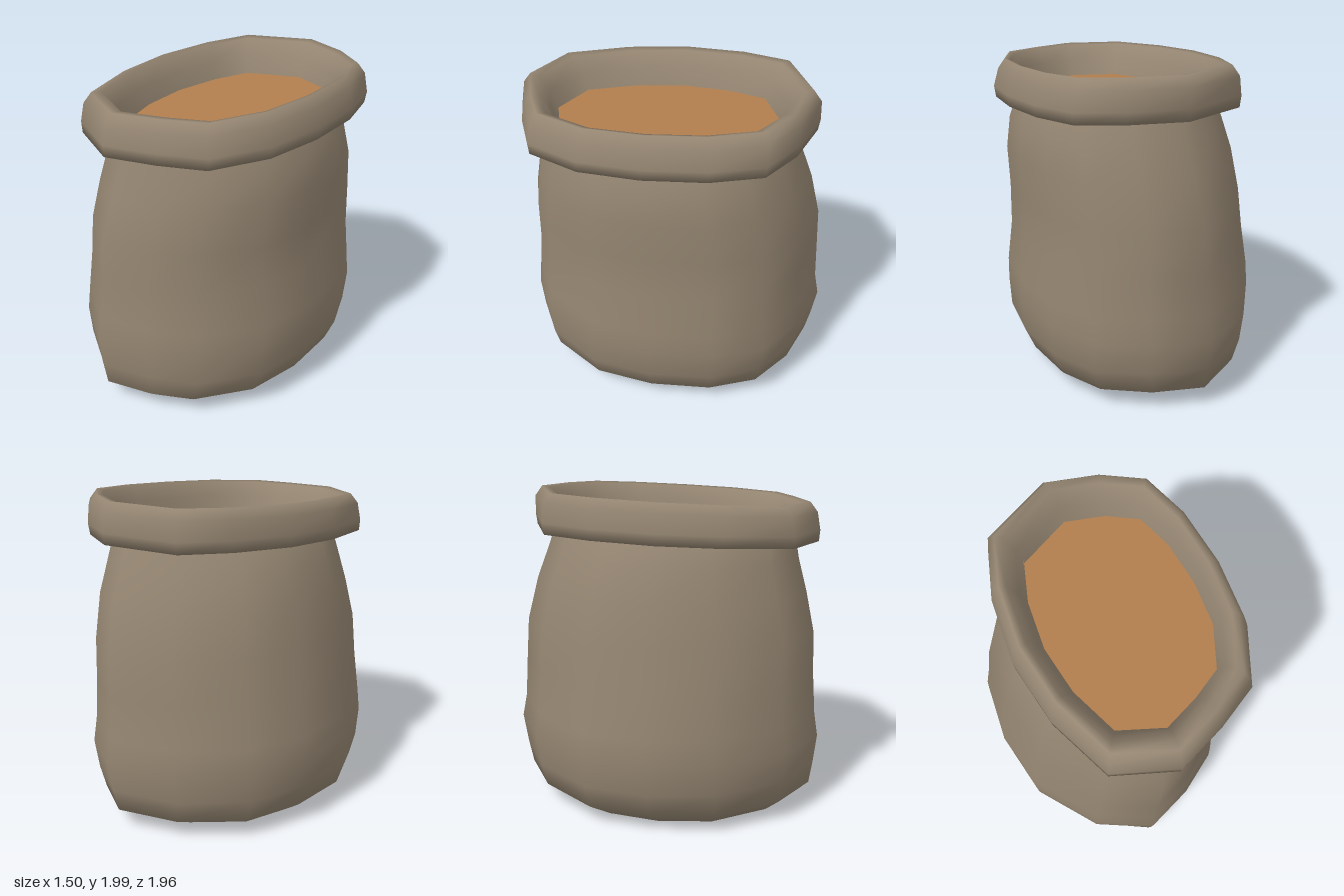
import * as THREE from 'three';

// Uneven outlines as [x, z] between -1 and 1, both starting at the back and passing +x first
const BODY_OUTLINE = [
  [-0.08, -1], [0.37, -0.9], [0.75, -0.71], [0.94, -0.41], [1, -0.01], [0.94, 0.38], [0.65, 0.73],
  [0.3, 0.89], [-0.11, 1], [-0.56, 0.81], [-0.92, 0.41], [-1, -0.01], [-0.93, -0.41], [-0.57, -0.78],
];
const RIM_OUTLINE = [
  [-0.08, -1], [0.42, -0.9], [0.8, -0.74], [0.95, -0.42], [1, -0.02], [0.95, 0.38], [0.72, 0.74],
  [0.33, 0.88], [-0.13, 1], [-0.69, 0.84], [-0.92, 0.41], [-1, -0.02], [-0.93, -0.45], [-0.76, -0.79],
];

// One ring: height, x range, z range, slope towards the front, lift of front and back ends
function ringPoints(outline, [y, x0, x1, z0, z1, slope = 0, lift = 0]) {
  return outline.flatMap(([u, v]) => {
    const x = (x0 + x1) / 2 + (u * (x1 - x0)) / 2;
    const z = (z0 + z1) / 2 + (v * (z1 - z0)) / 2;
    return [x, y + slope * z + lift * v * v, z];
  });
}

function smoothGeometry(positions, index) {
  const geometry = new THREE.BufferGeometry();
  geometry.setAttribute('position', new THREE.Float32BufferAttribute(positions, 3));
  geometry.setIndex(index);
  geometry.computeVertexNormals();
  return geometry;
}

// Skin over a stack of rings, with an optional centre point closing the first ring from below
function skin(outline, rings, bottom) {
  const n = outline.length;
  const positions = rings.flatMap((ring) => ringPoints(outline, ring));
  const index = [];
  for (let i = 0; i < rings.length - 1; i++) {
    for (let j = 0; j < n; j++) {
      const a = i * n + j, b = i * n + ((j + 1) % n);
      index.push(a, a + n, b, b, a + n, b + n);
    }
  }
  if (bottom) {
    const centre = positions.length / 3;
    positions.push(...bottom);
    for (let j = 0; j < n; j++) index.push(centre, j, (j + 1) % n);
  }
  return smoothGeometry(positions, index);
}

// Flat disc facing up across one ring
function disc(outline, ring) {
  const index = [];
  for (let j = 1; j < outline.length - 1; j++) index.push(0, j + 1, j);
  return smoothGeometry(ringPoints(outline, ring), index);
}

export function createModel() {
  const cloth = new THREE.MeshStandardMaterial({ color: 0x948571 });
  cloth.name = 'sackcloth';
  const grain = new THREE.MeshStandardMaterial({ color: 0xb17e4e });
  grain.name = 'grain';

  const group = new THREE.Group();
  group.name = 'sack';
  const add = (name, geometry, material) => {
    const mesh = new THREE.Mesh(geometry, material);
    mesh.name = name;
    group.add(mesh);
  };

  // Slumped body, leaning slightly towards +x as it rises
  add('sackBody', skin(BODY_OUTLINE, [
    [0.005, -0.38, 0.34, -0.5, 0.55, 0, 0.03],
    [0.02, -0.55, 0.51, -0.74, 0.83, 0, 0.03],
    [0.12, -0.68, 0.65, -0.92, 0.94, 0, 0.02],
    [0.28, -0.74, 0.72, -0.95, 0.96],
    [0.47, -0.75, 0.73, -0.98, 0.98],
    [0.62, -0.745, 0.73, -0.95, 0.955],
    [0.88, -0.695, 0.695, -0.935, 0.935],
    [1.14, -0.66, 0.69, -0.92, 0.925],
    [1.4, -0.61, 0.705, -0.855, 0.87, -0.015],
    [1.6, -0.55, 0.68, -0.78, 0.815, -0.02],
    [1.72, -0.49, 0.63, -0.735, 0.795, -0.035],
    [1.78, -0.45, 0.61, -0.71, 0.77, -0.035],
  ], [-0.02, 0.03, 0.02]), cloth);

  // Rolled rim: underside, outer wall, crest, then the inner slope down to the grain
  add('rolledRim', skin(RIM_OUTLINE, [
    [1.75, -0.44, 0.6, -0.69, 0.75, -0.035],
    [1.722, -0.545, 0.74, -0.86, 0.93, -0.035],
    [1.79, -0.55, 0.75, -0.87, 0.935, -0.035],
    [1.9, -0.53, 0.72, -0.865, 0.915, -0.038],
    [1.96, -0.49, 0.68, -0.82, 0.87, -0.041],
    [1.952, -0.45, 0.65, -0.77, 0.81, -0.041],
    [1.86, -0.39, 0.61, -0.70, 0.74, -0.035],
    [1.74, -0.35, 0.58, -0.66, 0.69, -0.035],
  ]), cloth);

  // Grain filling the mouth
  add('grainSurface', disc(RIM_OUTLINE, [1.755, -0.355, 0.585, -0.665, 0.695, -0.035]), grain);

  return group;
}
